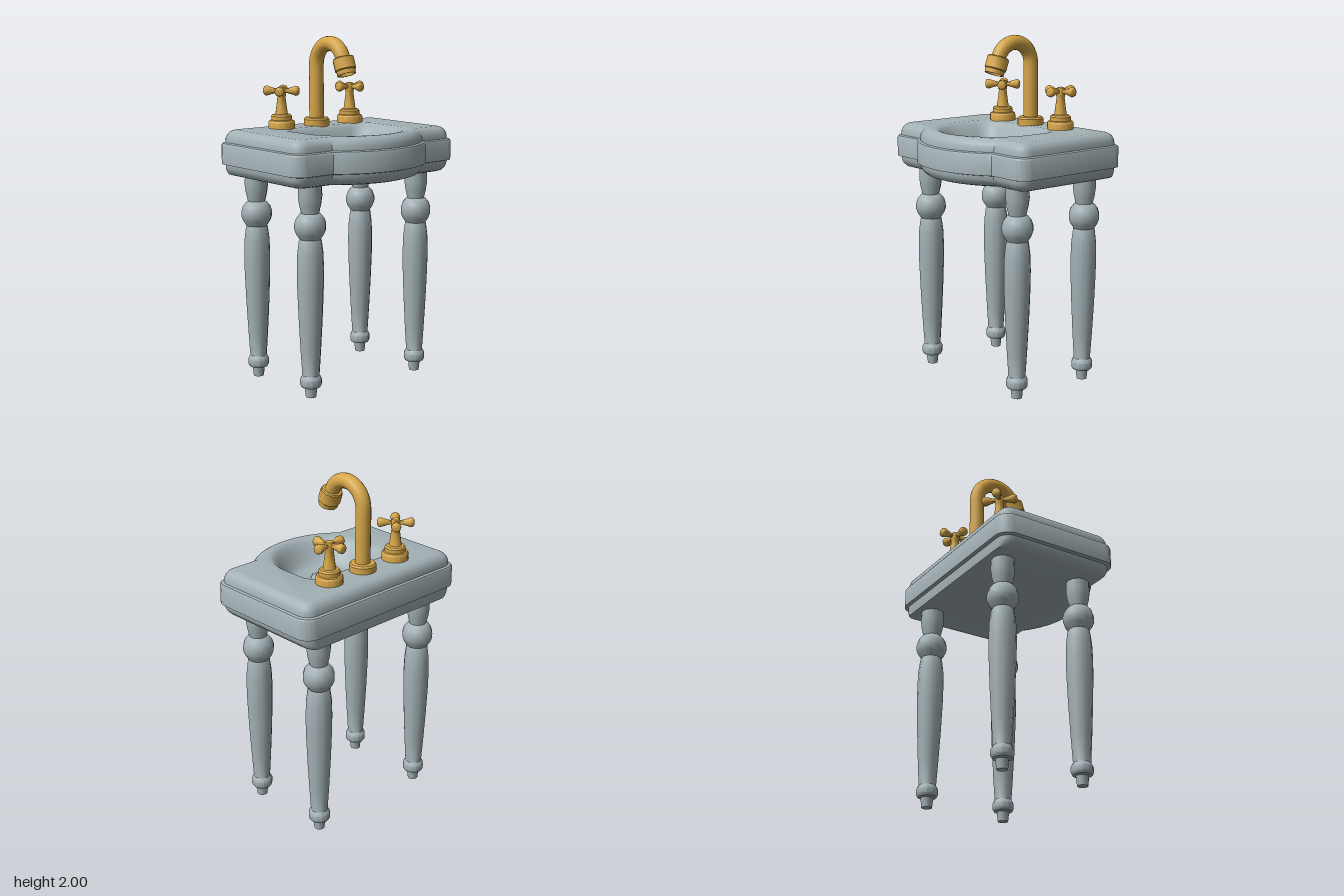
import * as THREE from 'three';
import { mergeGeometries, toCreasedNormals } from 'three/addons/utils/BufferGeometryUtils.js';

const porcelain = new THREE.MeshStandardMaterial({ color: 0xa3b1b5 });
porcelain.name = 'porcelain';
const brass = new THREE.MeshStandardMaterial({ color: 0xd6a648 });
brass.name = 'brass';

const V = (x, y, z) => new THREE.Vector3(x, y, z);

function mesh(name, geometry, material, parent) {
  const m = new THREE.Mesh(geometry, material);
  m.name = name;
  parent.add(m);
  return m;
}

// Turned part: profile of [radius, y] from bottom to top
function turned(profile, sides, crease = 0.65) {
  const g = new THREE.LatheGeometry(profile.map(([r, y]) => new THREE.Vector2(r, y)), sides);
  return toCreasedNormals(g, crease);
}

// Points of an arc in the ground plane, angles from +x towards +z
function arc(cx, cz, rx, rz, from, to, steps) {
  const pts = [];
  for (let i = 0; i <= steps; i++) {
    const a = from + ((to - from) * i) / steps;
    pts.push([cx + rx * Math.cos(a), cz + rz * Math.sin(a)]);
  }
  return pts;
}

// Basin outline: rounded rectangle with a bowed front, moved inward by d
function basinOutline(d, dBack = d) {
  const P = Math.PI, hx = 0.59 - d, zf = 0.32 - d, zb = -0.445 + dBack;
  const r = 0.085 - 0.7 * d, R = 0.542 - d, cz = -0.102;
  const h = Math.acos((zf - cz) / R);
  return [
    ...arc(hx - r, zf - r, r, r, 0, P / 2, 5),
    ...arc(0, cz, R, R, P / 2 - h, P / 2 + h, 18),
    ...arc(-hx + r, zf - r, r, r, P / 2, P, 5),
    ...arc(-hx + r, zb + r, r, r, P, 1.5 * P, 5),
    ...arc(hx - r, zb + r, r, r, 1.5 * P, 2 * P, 5),
  ];
}

// Bowl outline: rounded front, squarer back; t runs from rim (0) to floor (1)
function bowlOutline(t) {
  const P = Math.PI, mix = THREE.MathUtils.lerp;
  const w = mix(0.325, 0.17, t), back = mix(-0.2, -0.085, t), front = mix(0.35, 0.21, t);
  const r = mix(0.1, 0.07, t), start = 0.05;
  return [
    ...arc(0, start, w, front - start, 0, P, 24),
    ...arc(-w + r, back + r, r, r, P, 1.5 * P, 6),
    ...arc(w - r, back + r, r, r, 1.5 * P, 2 * P, 6),
  ];
}

const atHeight = (pts, y) => pts.map(([x, z]) => V(x, y, z));

// Joins closed loops of equal length into a surface
function skin(loops) {
  const out = [];
  const tri = (a, b, c) => {
    if (a.distanceTo(b) > 1e-6 && b.distanceTo(c) > 1e-6 && c.distanceTo(a) > 1e-6) out.push(a, b, c);
  };
  for (let k = 0; k + 1 < loops.length; k++) {
    const n = loops[k].length;
    for (let i = 0; i < n; i++) {
      const j = (i + 1) % n;
      tri(loops[k][i], loops[k + 1][i], loops[k + 1][j]);
      tri(loops[k][i], loops[k + 1][j], loops[k][j]);
    }
  }
  return new THREE.BufferGeometry().setFromPoints(out);
}

function basinGeometry() {
  const top = 1.475, floor = 1.335;
  // Outer wall: underside, lower moulding, apron band, rounded top edge
  const lower = [[0.07, 1.21], [0.048, 1.217], [0.03, 1.235], [0.021, 1.255], [0.02, 1.275]];
  const upper = [[0, 1.28], [0, 1.39], [0.006, 1.4], [0.02, 1.405], [0.022, 1.428],
    [0.03, 1.448], [0.043, 1.463], [0.06, 1.472], [0.075, top]];
  const walls = [
    ...lower.map(([d, y]) => atHeight(basinOutline(d, 0.02), y)),
    ...upper.map(([d, y]) => atHeight(basinOutline(d), y)),
  ];
  walls.unshift(walls[0].map(() => V(0, 1.21, 0)));

  // Bowl: S-shaped wall down to a flat floor
  const bowl = [];
  for (let i = 0; i <= 10; i++) {
    const t = i / 10;
    bowl.push(atHeight(bowlOutline(t), floor + (top - floor) * (0.5 + 0.5 * Math.cos(Math.PI * t))));
  }
  bowl.push(bowl[0].map(() => V(0, floor - 0.003, 0.06)));

  // Flat deck between top edge and bowl rim
  const flat = (pts) => pts.map(([x, z]) => new THREE.Vector2(x, -z));
  const shape = new THREE.Shape(flat(basinOutline(0.075)));
  shape.holes.push(new THREE.Path(flat(bowlOutline(0))));
  const deck = new THREE.ShapeGeometry(shape).rotateX(-Math.PI / 2).translate(0, top, 0).toNonIndexed();
  deck.deleteAttribute('normal');
  deck.deleteAttribute('uv');

  return toCreasedNormals(mergeGeometries([skin(walls), deck, skin(bowl)]), 0.6);
}

function tap(name, x, turn) {
  const group = new THREE.Group();
  group.name = name;
  group.position.set(x, 1.47, -0.26);
  mesh('tapStem', turned([[0.077, 0], [0.077, 0.04], [0.07, 0.05], [0.06, 0.053], [0.06, 0.075],
    [0.052, 0.084], [0.036, 0.087], [0.03, 0.13], [0.023, 0.185], [0.026, 0.195], [0.028, 0.22],
    [0.022, 0.24], [0, 0.246]], 14), brass, group);
  const cross = new THREE.Group();
  cross.name = 'crossHandle';
  cross.position.y = 0.22;
  cross.rotation.y = turn;
  group.add(cross);
  const arm = turned([[0.014, 0], [0.014, 0.035], [0.021, 0.06], [0.029, 0.083], [0.026, 0.097],
    [0.014, 0.104], [0, 0.105]], 8, 1).rotateZ(-Math.PI / 2);
  for (let i = 0; i < 4; i++) mesh('handleArm', arm, brass, cross).rotation.y = (i * Math.PI) / 2;
  return group;
}

export function createModel() {
  const model = new THREE.Group();
  model.name = 'washbasin';

  mesh('basin', basinGeometry(), porcelain, model);
  const drain = mesh('drainPlug', new THREE.SphereGeometry(0.07, 10, 4, 0, Math.PI * 2, 0, Math.PI / 2), porcelain, model);
  drain.scale.y = 0.35;
  drain.position.set(0, 1.332, 0.065);

  // Turned legs
  const leg = turned([[0, 0], [0.03, 0], [0.036, 0.055], [0.054, 0.06], [0.062, 0.075], [0.062, 0.105],
    [0.054, 0.122], [0.049, 0.128], [0.058, 0.27], [0.068, 0.46], [0.075, 0.64], [0.076, 0.74],
    [0.073, 0.83], [0.064, 0.9], [0.06, 0.91], [0.08, 0.94], [0.089, 0.965], [0.089, 0.995],
    [0.08, 1.025], [0.058, 1.052], [0.05, 1.055], [0.061, 1.1], [0.068, 1.15], [0.066, 1.215]], 12);
  for (const x of [-0.395, 0.395]) {
    for (const z of [0.182, -0.323]) mesh('leg', leg, porcelain, model).position.set(x, 0, z);
  }

  // Gooseneck spout
  mesh('spoutBase', turned([[0.076, 0], [0.076, 0.04], [0.068, 0.05], [0.04, 0.052]], 16), brass, model)
    .position.set(0, 1.47, -0.258);
  const path = [V(0, 1.48, -0.258), V(0, 1.6, -0.258), V(0, 1.72, -0.258)];
  for (let i = 0; i <= 8; i++) {
    const a = Math.PI - (i / 8) * (Math.PI - 0.35);
    path.push(V(0, 1.83 + 0.127 * Math.sin(a), -0.131 + 0.127 * Math.cos(a)));
  }
  mesh('spoutPipe', new THREE.TubeGeometry(new THREE.CatmullRomCurve3(path), 36, 0.043, 14), brass, model);
  const nozzle = mesh('spoutNozzle', turned([[0, -0.07], [0.044, -0.07], [0.046, -0.095], [0.055, -0.095],
    [0.057, -0.07], [0.063, -0.065], [0.063, 0], [0.058, 0.006], [0.038, 0.008]], 10), brass, model);
  nozzle.position.copy(path[path.length - 1]);
  nozzle.rotation.x = -0.35;

  // Taps
  model.add(tap('rightTap', -0.255, 0.8), tap('leftTap', 0.255, 0.1));
  return model;
}
